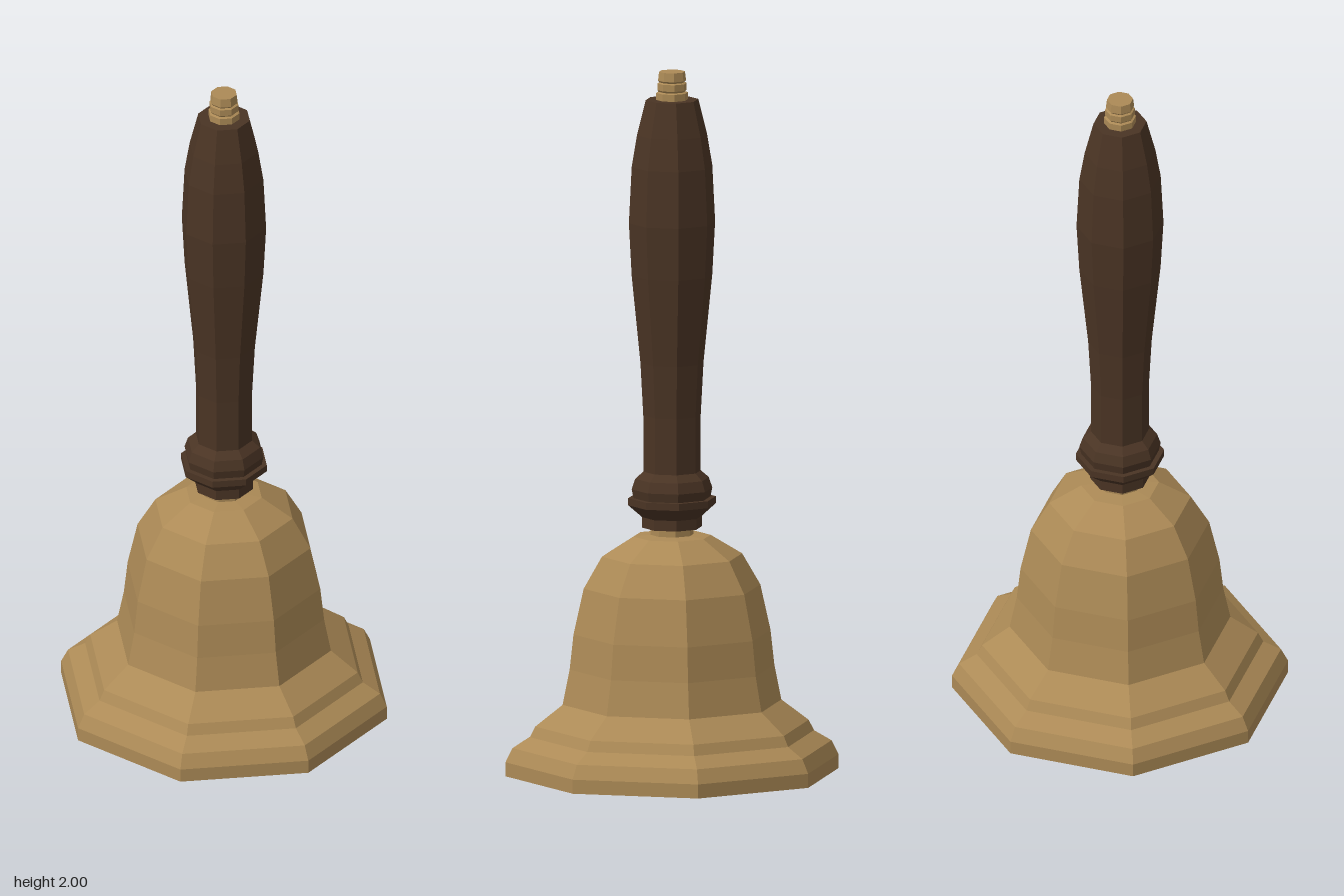
import * as THREE from 'three';

const brass = new THREE.MeshStandardMaterial({ color: 0xac8a56, flatShading: true });
brass.name = 'brass';
const wood = new THREE.MeshStandardMaterial({ color: 0x4a3424, flatShading: true });
wood.name = 'dark wood';

// Eight-sided turned part; profile is [radius, height], rising for outward faces
function turned(name, profile, material) {
  const points = profile.map(([r, y]) => new THREE.Vector2(r, y));
  const geometry = new THREE.LatheGeometry(points, 8).toNonIndexed();
  geometry.computeVertexNormals();
  const mesh = new THREE.Mesh(geometry, material);
  mesh.name = name;
  return mesh;
}

export function createModel() {
  const group = new THREE.Group();
  group.name = 'handBell';

  // Hollow bell: down the inside, around the lip, up the outside
  group.add(turned('bell', [
    [0, 0.66], [0.1, 0.65], [0.18, 0.6], [0.225, 0.52], [0.255, 0.4], [0.265, 0.3], [0.285, 0.2],
    [0.365, 0.13], [0.385, 0.1], [0.43, 0.07], [0.45, 0.04], [0.45, 0],
    [0.475, 0], [0.475, 0.04], [0.455, 0.08], [0.405, 0.11], [0.39, 0.14],
    [0.312, 0.2], [0.292, 0.3], [0.281, 0.4], [0.252, 0.53], [0.2, 0.62], [0.11, 0.675], [0, 0.685],
  ], brass));

  // Brass neck between bell and handle
  group.add(turned('neck', [[0.062, 0.67], [0.062, 0.71]], brass));

  // Stepped wooden collar
  group.add(turned('collar', [
    [0, 0.7], [0.085, 0.7], [0.085, 0.73], [0.125, 0.765], [0.125, 0.785],
    [0.11, 0.785], [0.115, 0.81], [0.105, 0.84], [0.082, 0.86], [0, 0.86],
  ], wood));

  // Swelling grip
  group.add(turned('grip', [
    [0.082, 0.85], [0.082, 1.02], [0.09, 1.17], [0.115, 1.42], [0.123, 1.57],
    [0.115, 1.73], [0.1, 1.82], [0.075, 1.92], [0, 1.92],
  ], wood));

  // Ringed brass finial
  group.add(turned('finial', [
    [0.045, 1.91], [0.045, 1.94], [0.038, 1.943], [0.042, 1.948], [0.042, 1.967],
    [0.036, 1.97], [0.04, 1.975], [0.037, 2], [0, 2],
  ], brass));

  return group;
}
